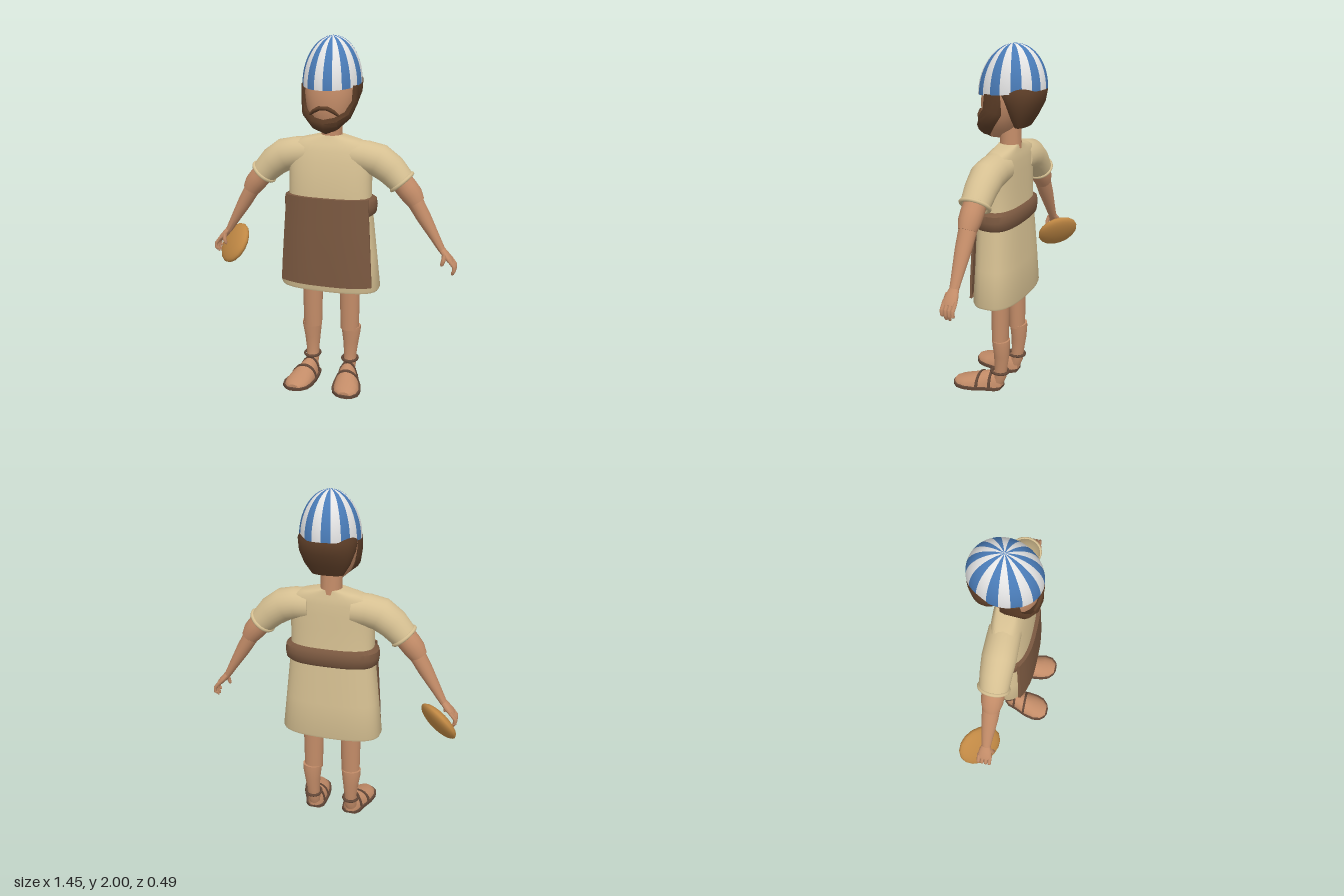
import * as THREE from 'three';
import { mergeGeometries, toCreasedNormals } from 'three/addons/utils/BufferGeometryUtils.js';

const V = (x, y, z) => new THREE.Vector3(x, y, z);
const material = (name, color, side = THREE.FrontSide) => {
  const m = new THREE.MeshStandardMaterial({ color, side });
  m.name = name;
  return m;
};

// Skin a surface over rings that run counter-clockwise around the direction of travel
function loft(rings, { start = true, end = true, crease = 0.8 } = {}) {
  const n = rings[0].length, pts = rings.flat(), idx = [];
  for (let i = 0; i < rings.length - 1; i++) {
    for (let j = 0; j < n; j++) {
      const a = i * n + j, b = i * n + (j + 1) % n;
      idx.push(a, b, b + n, a, b + n, a + n);
    }
  }
  const cap = (ring, base, flip) => {
    const c = pts.push(ring.reduce((s, p) => s.add(p), V(0, 0, 0)).divideScalar(n)) - 1;
    for (let j = 0; j < n; j++) {
      const a = base + j, b = base + (j + 1) % n;
      idx.push(c, flip ? b : a, flip ? a : b);
    }
  };
  if (start) cap(rings[0], 0, true);
  if (end) cap(rings.at(-1), (rings.length - 1) * n, false);
  const g = new THREE.BufferGeometry().setFromPoints(pts);
  g.setIndex(idx);
  return toCreasedNormals(g, crease);
}

// Tube through [x, y, z, radius in the xy plane, radius in z]
function limb(path, seg = 18) {
  const c = path.map(p => V(p[0], p[1], p[2]));
  return loft(path.map(([, , , r, rz = r], i) => {
    const t = c[Math.min(i + 1, c.length - 1)].clone().sub(c[Math.max(i - 1, 0)]).normalize();
    const u = V(-t.y, t.x, 0).normalize(), w = t.clone().cross(u);
    return Array.from({ length: seg }, (_, j) => {
      const a = j / seg * Math.PI * 2;
      return c[i].clone().addScaledVector(u, r * Math.cos(a)).addScaledVector(w, rz * Math.sin(a));
    });
  }));
}

// Horizontal rounded slices [y, half width, front z, back z], bottom to top
function stack(slices, power = 2, options = {}, seg = 40) {
  const q = v => Math.sign(v) * Math.abs(v) ** (2 / power);
  return loft(slices.map(([y, rx, zf, zb]) => Array.from({ length: seg }, (_, j) => {
    const a = j / seg * Math.PI * 2;
    return V(rx * q(Math.cos(a)), y, (zf + zb) / 2 - (zf - zb) / 2 * q(Math.sin(a)));
  })), options);
}

// Foot outline [z, centre x, half width, height]
const footPlan = [[-0.045, 0.115, 0.022, 0.06], [-0.02, 0.115, 0.045, 0.095], [0.03, 0.12, 0.056, 0.09],
  [0.1, 0.135, 0.072, 0.068], [0.16, 0.145, 0.075, 0.047], [0.205, 0.15, 0.064, 0.032], [0.235, 0.153, 0.035, 0.02]];
function footAt(z) {
  const i = Math.max(1, footPlan.findIndex(p => p[0] >= z)), a = footPlan[i - 1], b = footPlan[i];
  return a.map((v, k) => THREE.MathUtils.lerp(v, b[k], (z - a[0]) / (b[0] - a[0])));
}
const footRing = ([z, cx, rx, h], grow = 0) => Array.from({ length: 20 }, (_, j) => {
  const a = j / 20 * Math.PI * 2;
  return V(cx + (rx + grow) * Math.cos(a), 0.014 + (h + grow) * Math.max(0, Math.sin(a)), z);
});

export function createModel() {
  const model = new THREE.Group();
  model.name = 'figure';
  const skin = material('skin', 0xc38c68), cloth = material('tunicCloth', 0xd6c092, THREE.DoubleSide);
  const leather = material('apronBrown', 0x7a5840), hair = material('hairBrown', 0x5c3d27, THREE.DoubleSide);
  const strap = material('sandalBrown', 0x624737), blue = material('capBlue', 0x4a7cb8, THREE.DoubleSide);
  const white = material('capWhite', 0xe4e4e4, THREE.DoubleSide), crust = material('loafCrust', 0xc08844);
  const add = (name, geometry, mat, parent = model) => {
    const m = new THREE.Mesh(geometry, mat);
    m.name = name;
    parent.add(m);
    return m;
  };

  // Tunic, open at the hem
  add('tunic', stack([[0.585, 0.285, 0.105, -0.152], [0.597, 0.29, 0.11, -0.156], [0.8, 0.268, 0.102, -0.146],
    [1.05, 0.242, 0.096, -0.13], [1.15, 0.235, 0.094, -0.124], [1.25, 0.235, 0.085, -0.12], [1.33, 0.238, 0.07, -0.118],
    [1.39, 0.24, 0.055, -0.115], [1.425, 0.225, 0.04, -0.11], [1.448, 0.16, 0.026, -0.103],
    [1.47, 0.064, 0.016, -0.1]], 2.7, { start: false }), cloth);
  add('belt', stack([[1.03, 0.245, 0.09, -0.13], [1.045, 0.262, 0.1, -0.142], [1.085, 0.267, 0.102, -0.146],
    [1.12, 0.262, 0.1, -0.143], [1.136, 0.24, 0.09, -0.126]], 2.7), leather);

  // Apron: a bowed plate
  const across = Array.from({ length: 17 }, (_, i) => i / 8 - 1);
  add('apron', loft([[0.627, 0.266, 0.13], [0.75, 0.259, 0.129], [0.95, 0.247, 0.122], [1.136, 0.235, 0.115]].map(([y, w, z]) => {
    const at = (u, d) => V(w * u, y, z - d - 0.05 * Math.abs(u) ** 3);
    return [...across.map(u => at(-u, 0.014)), ...across.map(u => at(u, 0))];
  })), leather);

  // Neck, head and hair
  add('neck', limb([[0, 1.62, -0.04, 0.056], [0, 1.44, -0.045, 0.06]]), skin);
  add('head', stack([[1.5, 0.04, 0.07, -0.01], [1.55, 0.09, 0.098, -0.075], [1.62, 0.125, 0.113, -0.13],
    [1.7, 0.14, 0.116, -0.18], [1.8, 0.138, 0.1, -0.2], [1.88, 0.1, 0.05, -0.16]], 2.2), skin);
  add('backHair', stack([[1.57, 0.085, -0.085, -0.15], [1.63, 0.122, -0.06, -0.188], [1.7, 0.148, -0.02, -0.224],
    [1.765, 0.155, 0.02, -0.238], [1.8, 0.14, 0.02, -0.22]], 2.2), hair);

  // Beard sections: [upper edge, lower edge, outward bulge], mirrored at the chin
  const half = [[[0.141, 1.75, 0.045], [0.145, 1.75, -0.05], [0.012, 0, 0.002]],
    [[0.137, 1.67, 0.055], [0.14, 1.645, -0.055], [0.015, 0, 0.005]],
    [[0.112, 1.62, 0.095], [0.108, 1.57, 0.005], [0.022, -0.008, 0.015]],
    [[0.06, 1.59, 0.12], [0.056, 1.512, 0.055], [0.016, -0.01, 0.024]],
    [[0, 1.577, 0.128], [0, 1.49, 0.075], [0, -0.008, 0.026]]];
  const flip = s => s.map(([x, y, z]) => [-x, y, z]);
  add('beard', loft([...half, ...half.slice(0, 4).reverse().map(flip)].map(s => {
    const [u, l, o] = s.map(p => V(...p)), at = (k, d) => u.clone().lerp(l, k).addScaledVector(o, d);
    return [u, at(0.5, -1), l, at(0.8, 0.75), at(0.5, 1), at(0.2, 0.75)];
  })), hair);
  add('moustache', limb([[0.088, 1.592, 0.102, 0.005], [0.055, 1.62, 0.118, 0.011], [0.022, 1.637, 0.123, 0.012],
    [0, 1.637, 0.124, 0.01], [-0.022, 1.637, 0.123, 0.012], [-0.055, 1.62, 0.118, 0.011], [-0.088, 1.592, 0.102, 0.005]], 10), hair);

  // Striped cap, tilted up at the back
  const tilt = new THREE.Matrix4().set(0.161, 0, 0, 0, 0, 0.2475, -0.0225, 1.7525, 0, 0, 0.19, -0.055, 0, 0, 0, 1);
  [['capWhiteStripes', white], ['capBlueStripes', blue]].forEach(([name, mat], k) => {
    const gores = Array.from({ length: 10 }, (_, i) =>
      new THREE.SphereGeometry(1, 3, 14, (2 * i + k) * Math.PI / 10, Math.PI / 10, 0, Math.PI / 2));
    add(name, mergeGeometries(gores).applyMatrix4(tilt), mat);
  });

  for (const side of [1, -1]) {
    const g = new THREE.Group();
    g.name = side > 0 ? 'leftLimbs' : 'rightLimbs';
    g.scale.x = side;
    model.add(g);

    // Sleeve and rolled cuff
    add('sleeve', limb([[0.12, 1.36, -0.034, 0.088], [0.2, 1.355, -0.034, 0.09], [0.27, 1.34, -0.034, 0.092],
      [0.34, 1.292, -0.035, 0.086], [0.402, 1.228, -0.035, 0.074, 0.08]], 24), cloth, g);
    const cuff = new THREE.TorusGeometry(0.072, 0.011, 8, 28);
    cuff.rotateX(Math.PI / 2).rotateZ(0.735).scale(1, 1, 1.08).translate(0.402, 1.228, -0.035);
    add('cuff', cuff, cloth, g);

    // Arm and hand
    add('upperArm', limb([[0.385, 1.25, -0.033, 0.06], [0.43, 1.195, -0.033, 0.062], [0.46, 1.158, -0.033, 0.06],
      [0.485, 1.118, -0.033, 0.049]]), skin, g);
    add('forearm', limb([[0.468, 1.14, -0.033, 0.046, 0.05], [0.53, 1.035, -0.034, 0.04, 0.045],
      [0.59, 0.935, -0.035, 0.028, 0.034], [0.637, 0.855, -0.036, 0.019, 0.026]]), skin, g);
    add('palm', limb([[0.633, 0.862, -0.036, 0.018, 0.025], [0.657, 0.833, -0.036, 0.019, 0.036],
      [0.682, 0.805, -0.036, 0.017, 0.041], [0.695, 0.79, -0.036, 0.011, 0.037]]), skin, g);
    [-0.068, -0.047, -0.026, -0.005].forEach((z, i) => {
      const tip = [0.735, 0.715, 0.715, 0.73][i];
      add('finger', limb([[0.68, 0.81, z, 0.011], [0.71, 0.772, z, 0.0105], [0.711, 0.745, z, 0.01],
        [0.702, tip + 0.006, z, 0.008], [0.699, tip, z, 0.003]], 8), skin, g);
    });
    add('thumb', limb([[0.655, 0.835, -0.008, 0.013], [0.652, 0.805, 0.004, 0.012], [0.645, 0.782, 0.004, 0.01],
      [0.642, 0.773, 0.003, 0.004]], 8), skin, g);

    // Leg
    add('thigh', limb([[0.11, 0.9, -0.034, 0.062, 0.054], [0.112, 0.58, -0.034, 0.06, 0.051],
      [0.114, 0.31, -0.035, 0.055, 0.047]]), skin, g);
    add('shin', limb([[0.12, 0.325, -0.043, 0.058, 0.05], [0.121, 0.3, -0.044, 0.057, 0.05], [0.119, 0.23, -0.046, 0.047, 0.045],
      [0.117, 0.15, -0.041, 0.038, 0.038], [0.116, 0.09, -0.036, 0.038, 0.038], [0.116, 0.05, -0.022, 0.035, 0.036]]), skin, g);

    // Foot and sandal
    add('foot', loft(footPlan.map(p => footRing(p))), skin, g);
    add('sole', loft([...footPlan, [0.246, 0.155, 0.008, 0]].map(([z, cx, rx]) => {
      const a = cx + rx + 0.011, b = cx - rx - 0.011;
      return [V(a, 0, z), V(a, 0.017, z), V(b, 0.017, z), V(b, 0, z)];
    }), { crease: 0.6 }), strap, g);
    for (const z of [0.015, 0.085]) {
      add('footStrap', loft([z - 0.007, z + 0.007].map(k => footRing(footAt(k), 0.006))), strap, g);
    }
    const anklet = new THREE.TorusGeometry(0.045, 0.008, 8, 24);
    anklet.rotateX(Math.PI / 2).scale(1, 1, 1.12).translate(0.117, 0.115, -0.033);
    add('ankleStrap', anklet, strap, g);
  }

  // Round loaf held behind the right hand
  const loaf = add('loaf', new THREE.SphereGeometry(0.128, 16, 12).scale(1, 0.32, 1), crust);
  loaf.quaternion.setFromUnitVectors(V(0, 1, 0), V(0.59, -0.54, -0.6).normalize());
  loaf.position.set(-0.622, 0.757, -0.08);
  return model;
}
